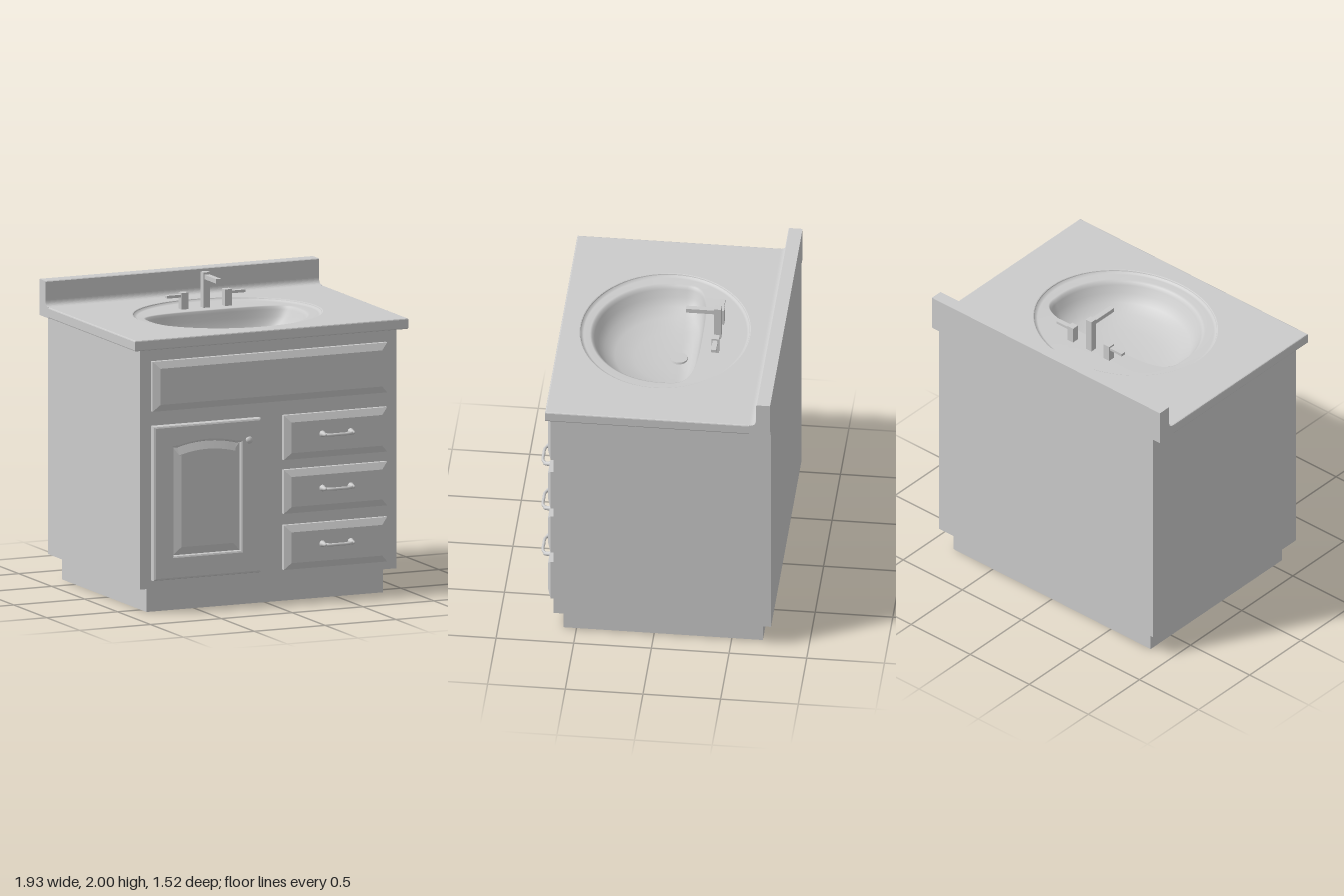
import * as THREE from 'three';

const material = new THREE.MeshStandardMaterial({ color: 0xcccccc });

export function createModel() {
  const model = new THREE.Group();
  model.name = 'bathroomVanity';

  const add = (name, geometry, parent = model) => {
    const mesh = new THREE.Mesh(geometry, material);
    mesh.name = name;
    parent.add(mesh);
    return mesh;
  };

  // box given by its two opposite corners
  const box = (name, x0, x1, y0, y1, z0, z1, parent) =>
    add(name, new THREE.BoxGeometry(x1 - x0, y1 - y0, z1 - z0)
      .translate((x0 + x1) / 2, (y0 + y1) / 2, (z0 + z1) / 2), parent);

  const rect = (x0, x1, y0, y1) => new THREE.Shape([
    new THREE.Vector2(x0, y0), new THREE.Vector2(x1, y0),
    new THREE.Vector2(x1, y1), new THREE.Vector2(x0, y1)]);

  // extrusion whose bevel stays inside the outline
  const bevelled = (shape, depth, size, thickness, segments = 1) =>
    new THREE.ExtrudeGeometry(shape, {
      depth, bevelEnabled: true, bevelSize: size, bevelOffset: -size,
      bevelThickness: thickness, bevelSegments: segments, curveSegments: 16 });

  // cabinet carcass, open at the top for the basin
  const cabinet = new THREE.Group();
  cabinet.name = 'cabinet';
  model.add(cabinet);
  for (const s of [-1, 1]) {
    box(s < 0 ? 'rightSide' : 'leftSide', s < 0 ? -0.905 : 0.875, s < 0 ? -0.875 : 0.905,
      0.16, 1.72, -0.76, 0.64, cabinet);
  }
  box('frontPanel', -0.875, 0.875, 0.16, 1.72, 0.61, 0.64, cabinet);
  box('backPanel', -0.875, 0.875, 0.16, 1.72, -0.76, -0.73, cabinet);
  box('bottomPanel', -0.875, 0.875, 0.16, 0.19, -0.73, 0.61, cabinet);
  box('toeKick', -0.835, 0.835, 0, 0.16, -0.7, 0.585, cabinet);

  // raised drawer fronts, with a bow pull on the three real drawers
  const drawerFront = (name, x0, x1, y0, y1) =>
    add(name, bevelled(rect(x0, x1, y0, y1), 0.028, 0.045, 0.022).translate(0, 0, 0.64));
  drawerFront('falseDrawerFront', -0.83, 0.825, 1.315, 1.64);

  const pullCurve = new THREE.CatmullRomCurve3([
    [-0.1, 0.685], [-0.095, 0.725], [-0.07, 0.748], [0, 0.752],
    [0.07, 0.748], [0.095, 0.725], [0.1, 0.685],
  ].map(([x, z]) => new THREE.Vector3(x, 0, z)));
  const pullBar = new THREE.TubeGeometry(pullCurve, 32, 0.01, 10);
  const pullFoot = new THREE.LatheGeometry([
    [0.022, 0], [0.021, 0.012], [0.015, 0.024], [0.013, 0.045], [0.008, 0.058], [0, 0.06],
  ].map(p => new THREE.Vector2(...p)), 16).rotateX(Math.PI / 2);

  [[0.93, 1.22], [0.58, 0.865], [0.215, 0.505]].forEach(([y0, y1]) => {
    drawerFront('drawerFront', 0.095, 0.825, y0, y1);
    const pull = new THREE.Group();
    pull.name = 'drawerPull';
    pull.position.set(0.457, (y0 + y1) / 2 + 0.01, 0);
    add('pullBar', pullBar, pull);
    for (const s of [-1, 1]) add('pullFoot', pullFoot, pull).position.set(s * 0.1, 0, 0.685);
    model.add(pull);
  });

  // door: frame with an arched opening and a raised arched panel
  const arch = (Type) => {
    const p = new Type();
    p.moveTo(-0.685, 0.37);
    p.lineTo(-0.215, 0.37);
    p.lineTo(-0.215, 1.072);
    p.lineTo(-0.245, 1.072);
    p.quadraticCurveTo(-0.45, 1.128, -0.655, 1.072);
    p.lineTo(-0.685, 1.072);
    p.closePath();
    return p;
  };
  const door = new THREE.Group();
  door.name = 'door';
  model.add(door);
  const frame = rect(-0.83, -0.07, 0.215, 1.22);
  frame.holes.push(arch(THREE.Path));
  add('doorFrame', bevelled(frame, 0.032, 0.014, 0.015, 2).translate(0, 0, 0.64), door);
  add('doorPanel', bevelled(arch(THREE.Shape), 0.022, 0.052, 0.018).translate(0, 0, 0.64), door);
  add('doorKnob', new THREE.LatheGeometry([
    [0.014, 0], [0.009, 0.006], [0.008, 0.02], [0.021, 0.027], [0.023, 0.034], [0.016, 0.043], [0, 0.046],
  ].map(p => new THREE.Vector2(...p)), 20).rotateX(Math.PI / 2), door).position.set(-0.17, 1.09, 0.685);

  // sink outlines: an oval rim and a basin lip with a straight back
  const N = 72;
  const rim = (t, k = 1) => [0.615 * k * Math.cos(t), 0.02 + 0.54 * k * Math.sin(t)];
  const lip = (t) => {
    const c = Math.cos(t), s = Math.sin(t);
    return s >= 0 ? [0.54 * c, 0.5 * s]
      : [0.54 * Math.sign(c) * Math.abs(c) ** 0.6, -0.225 * Math.abs(s) ** 0.5];
  };
  const angles = Array.from({ length: N }, (_, i) => (i / N) * Math.PI * 2);

  // countertop with the sink cut-out
  const top = rect(-0.965, 0.965, -0.69, 0.72);
  top.holes.push(new THREE.Path(angles.map(t => {
    const [x, z] = rim(t);
    return new THREE.Vector2(x, -z);
  })));
  add('countertop', bevelled(top, 0.054, 0.008, 0.008, 2).rotateX(-Math.PI / 2).translate(0, 1.728, 0));

  // backsplash with a cove at its foot, drawn as (-z, y) and run along x
  const splash = new THREE.Shape();
  splash.moveTo(0.76, 1.72);
  splash.lineTo(0.76, 1.955);
  splash.lineTo(0.675, 1.955);
  splash.lineTo(0.67, 1.95);
  splash.lineTo(0.67, 1.835);
  splash.quadraticCurveTo(0.67, 1.79, 0.625, 1.79);
  splash.lineTo(0.625, 1.72);
  splash.closePath();
  add('backsplash', new THREE.ExtrudeGeometry(splash, { depth: 1.93, bevelEnabled: false })
    .rotateY(Math.PI / 2).translate(-0.965, 0, 0));

  // basin lofted from the rim, over the ledge, down to the drain
  const drain = [0, -0.07];
  const rings = [[1, 1.782], [0.985, 1.774], [0.965, 1.771]].map(([k, y]) => [t => rim(t, k), y]);
  for (const [k, y] of [[1, 1.77], [0.975, 1.764], [0.95, 1.745], [0.91, 1.7], [0.84, 1.65],
    [0.72, 1.608], [0.5, 1.582], [0.25, 1.572], [0.05, 1.57]]) {
    rings.push([t => lip(t).map((v, i) => drain[i] + (v - drain[i]) * k), y]);
  }
  const positions = [], index = [];
  rings.forEach(([outline, y], r) => angles.forEach((t, i) => {
    const [x, z] = outline(t);
    positions.push(x, y, z);
    if (r === rings.length - 1) return;
    const a = r * N + i, b = r * N + (i + 1) % N;
    index.push(a, a + N, b, b, a + N, b + N);
  }));
  const basin = new THREE.BufferGeometry();
  basin.setAttribute('position', new THREE.Float32BufferAttribute(positions, 3));
  basin.setIndex(index);
  basin.computeVertexNormals();
  add('basin', basin);
  add('drain', new THREE.CylinderGeometry(0.055, 0.06, 0.016, 32)).position.set(0, 1.575, -0.07);

  // faucet: square spout and two lever handles
  const faucet = new THREE.Group();
  faucet.name = 'faucet';
  model.add(faucet);
  box('spoutPost', -0.024, 0.024, 1.765, 2, -0.342, -0.296, faucet);
  box('spoutArm', -0.018, 0.018, 1.957, 1.986, -0.296, -0.115, faucet);
  for (const s of [-1, 1]) {
    const handle = new THREE.Group();
    handle.name = s < 0 ? 'rightHandle' : 'leftHandle';
    handle.position.x = s * 0.153;
    box('handlePost', -0.024, 0.024, 1.765, 1.878, -0.345, -0.297, handle);
    const lever = box('handleLever', -0.05, 0.05, 1.848, 1.866, -0.338, -0.305, handle);
    lever.position.x = s * 0.074;
    faucet.add(handle);
  }

  return model;
}
